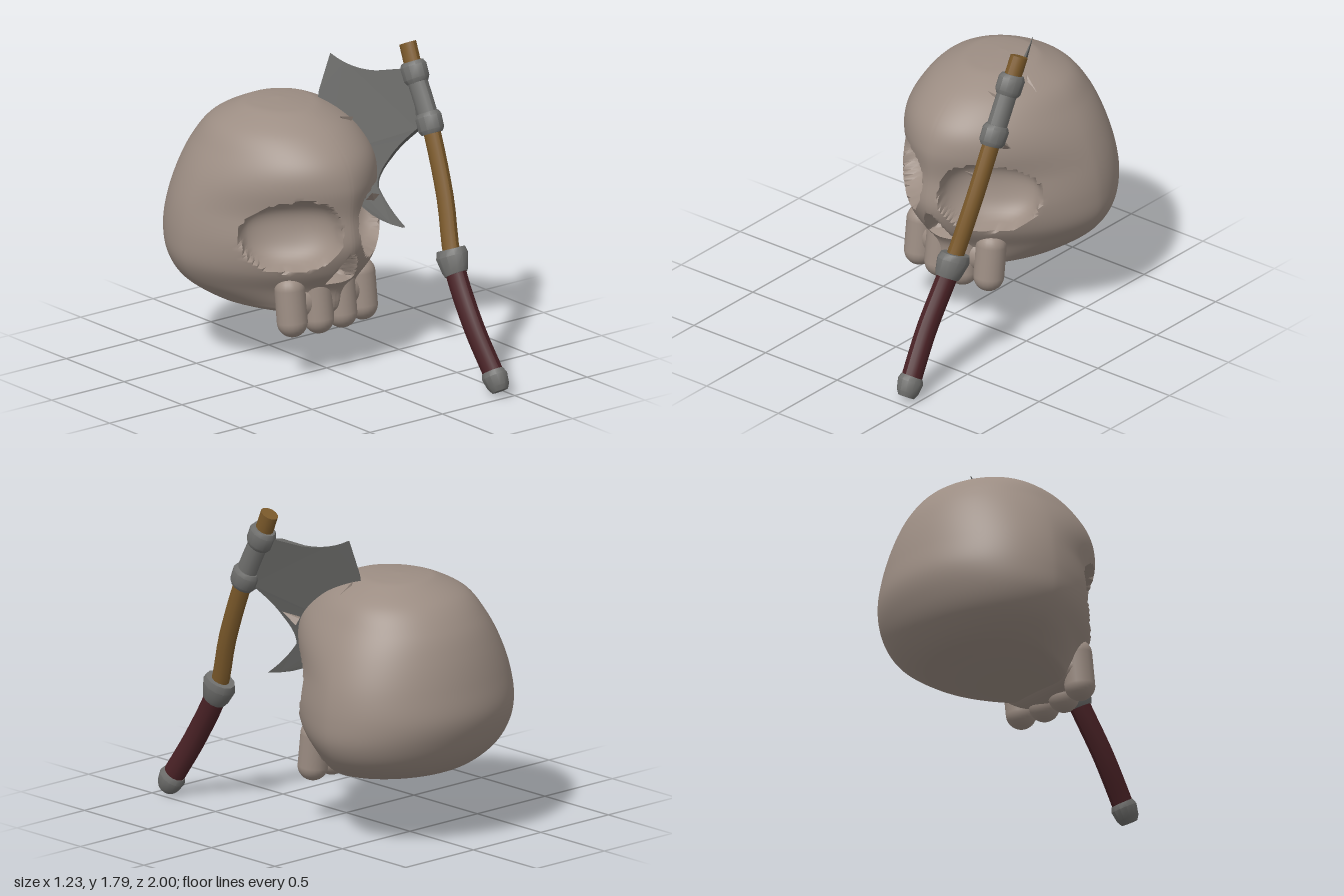
import * as THREE from 'three';
import { toCreasedNormals } from 'three/addons/utils/BufferGeometryUtils.js';

const { smoothstep, clamp } = THREE.MathUtils;
const V = (x, y, z) => new THREE.Vector3(x, y, z);

function material(name, color) {
  const m = new THREE.MeshStandardMaterial({ color });
  m.name = name;
  return m;
}

// Closed rings stacked from bottom to top; point(i, j) gives each corner.
function loft(rows, cols, point, crease) {
  const pos = [], index = [];
  for (let i = 0; i < rows; i++) {
    for (let j = 0; j < cols; j++) {
      pos.push(...point(i, j).toArray());
      if (i === rows - 1) continue;
      const a = i * cols + j, b = i * cols + (j + 1) % cols;
      index.push(a, b, b + cols, a, b + cols, a + cols);
    }
  }
  const g = new THREE.BufferGeometry();
  g.setAttribute('position', new THREE.Float32BufferAttribute(pos, 3));
  g.setIndex(index);
  return toCreasedNormals(g, crease);
}

// Skull levels: height, half width, front z, back z
const LEVELS = [
  [0.325, 0, -0.2, -0.2], [0.335, 0.2, 0.02, -0.42], [0.36, 0.33, 0.07, -0.6],
  [0.40, 0.42, 0.085, -0.77], [0.49, 0.535, 0.1, -0.885], [0.61, 0.605, 0.185, -0.96],
  [0.75, 0.615, 0.235, -1], [0.915, 0.59, 0.215, -0.98], [1.08, 0.535, 0.22, -0.94],
  [1.22, 0.46, 0.17, -0.88], [1.34, 0.37, 0.04, -0.78], [1.42, 0.23, -0.13, -0.63],
  [1.44, 0.14, -0.24, -0.56], [1.45, 0, -0.42, -0.42],
];

function skullGeometry() {
  const widths = new THREE.CatmullRomCurve3(LEVELS.map(l => V(l[0], l[1], 0)), false, 'catmullrom');
  const depths = new THREE.CatmullRomCurve3(LEVELS.map(l => V(l[0], l[2], l[3])), false, 'catmullrom');
  const rows = (LEVELS.length - 1) * 8 + 1, cols = 144;
  return loft(rows, cols, (i, j) => {
    const t = i / (rows - 1);
    const { x: y, y: w } = widths.getPoint(t);
    const { y: front, z: back } = depths.getPoint(t);
    const mid = back + (front - back) * 0.41;
    // columns gather toward the face
    const s = (j / cols) * Math.PI * 2, phi = s - 0.45 * Math.sin(s);
    const sn = Math.sin(phi), cs = Math.cos(phi);
    const p = cs > 0 ? 1.55 + 0.35 * smoothstep(y, 0.9, 1.25) : 2;
    let x = Math.max(w, 0) * Math.sign(sn) * Math.abs(sn) ** (2 / p);
    let z = mid + (cs > 0 ? front - mid : mid - back) * Math.sign(cs) * Math.abs(cs) ** (2 / p);
    if (cs > 0) {
      // eye sockets
      const side = Math.sign(x), ax = Math.abs(x);
      const u = (ax - 0.267) / 0.207, v = (y - 0.825 + 0.12 * (ax - 0.267)) / 0.197;
      const r = Math.abs(u) ** 2.2 + Math.abs(v) ** 2.2;
      if (r < 1) {
        const d = 0.21 * Math.sqrt(1 - r);
        x -= side * d * 0.4;
        z -= d * 0.92;
      }
      // nose hole
      const half = 0.09 * Math.sqrt(Math.max(0, (0.705 - y) / 0.165));
      z -= 0.12 * clamp(Math.min((y - 0.535) / 0.025, (half - ax) / 0.025), 0, 1);
    }
    return V(x, y, z);
  }, 0.85);
}

// Centre line of the bent axe handle
const HANDLE = new THREE.CatmullRomCurve3([
  V(0.44, 0.03, 0.953), V(0.435, 0.12, 0.9), V(0.417, 0.36, 0.745), V(0.432, 0.68, 0.55),
  V(0.474, 1.0, 0.43), V(0.497, 1.385, 0.265), V(0.499, 1.636, 0.134), V(0.506, 1.78, 0.065),
]);

// Curve parameter at a given height
function handleAt(y) {
  let lo = 0, hi = 1;
  for (let k = 0; k < 30; k++) {
    const m = (lo + hi) / 2;
    if (HANDLE.getPoint(m).y < y) lo = m; else hi = m;
  }
  return (lo + hi) / 2;
}

// Oval piece along the handle from [height, radius] rings, closed at both ends
function handlePiece(rings, sides = 12) {
  const all = [[rings[0][0], 0], ...rings, [rings[rings.length - 1][0], 0]];
  return loft(all.length, sides, (i, j) => {
    const t = handleAt(all[i][0]), r = all[i][1], a = (j / sides) * Math.PI * 2;
    const tangent = HANDLE.getTangent(t), side = V(1, 0, 0);
    const across = tangent.clone().cross(side).normalize();
    return HANDLE.getPoint(t).addScaledVector(side, Math.cos(a) * r * 0.85)
      .addScaledVector(across, Math.sin(a) * r);
  }, 0.6);
}

const straight = (y0, y1, r, n = 14) =>
  Array.from({ length: n + 1 }, (_, i) => [y0 + (y1 - y0) * i / n, r]);

// Blade outline as (-z, y), laid onto its slanted plane and thinned to the edge
function bladeGeometry() {
  const s = new THREE.Shape();
  s.moveTo(-0.23, 1.34);
  s.quadraticCurveTo(-0.14, 1.24, -0.11, 1.16);
  s.quadraticCurveTo(-0.06, 1.06, -0.08, 1.0);
  s.quadraticCurveTo(-0.15, 0.9, -0.26, 0.81);
  s.quadraticCurveTo(-0.06, 0.82, 0.06, 0.96);
  s.quadraticCurveTo(0.34, 1.2, 0.335, 1.46);
  s.lineTo(0.32, 1.66);
  s.quadraticCurveTo(0.2, 1.59, 0.075, 1.6);
  s.lineTo(-0.04, 1.625);
  s.lineTo(-0.14, 1.62);
  const g = new THREE.ExtrudeGeometry(s, { depth: 1, bevelEnabled: false, curveSegments: 6 });
  const p = g.attributes.position;
  for (let i = 0; i < p.count; i++) {
    const z = -p.getX(i), y = p.getY(i), w = p.getZ(i) - 0.5;
    const reach = (0.2 - z) * 0.89 + (1.5 - y) * 0.46;
    const thick = 0.055 * (1 - clamp(reach / 0.4, 0, 0.93));
    p.setXYZ(i, 0.497 + 0.503 * (z - 0.2) + 0.29 * (y - 1.5) + w * thick, y, z);
  }
  g.computeVertexNormals();
  return g;
}

export function createModel() {
  const bone = material('bone', 0x9c8d83);
  const steel = material('steel', 0x70706e);
  const bladeSteel = material('bladeSteel', 0x666664);
  const wood = material('wood', 0x7c5a2b);
  const leather = material('leather', 0x4a2226);

  const model = new THREE.Group();
  const skull = new THREE.Group();
  skull.name = 'skull';
  const axe = new THREE.Group();
  axe.name = 'axe';
  model.add(skull, axe);
  const add = (group, name, geometry, mat) => {
    const m = new THREE.Mesh(geometry, mat);
    m.name = name;
    group.add(m);
    return m;
  };

  add(skull, 'cranium', skullGeometry(), bone);

  // Upper jaw and its four stubby teeth
  const jaw = add(skull, 'upperJaw', new THREE.SphereGeometry(1, 32, 20), bone);
  jaw.position.set(0, 0.42, -0.04);
  jaw.scale.set(0.3, 0.12, 0.12);
  for (const side of [-1, 1]) {
    for (const [x, y, z] of [[0.08, 0.41, 0.02], [0.242, 0.415, -0.005]]) {
      const tooth = add(skull, 'tooth', new THREE.CapsuleGeometry(0.084, 0.18, 10, 20), bone);
      tooth.position.set(side * x, y, z);
      tooth.rotation.x = -0.12;
    }
  }

  // Splinters of bone raised beside the cut
  for (const [x, y, z, rx, rz] of [
    [0.2, 1.36, -0.1, 0.5, 0.9], [0.27, 1.38, -0.3, -0.3, 0.5],
    [0.22, 0.98, 0.12, 0.9, 0.6], [0.38, 1.18, 0.04, 0.9, -0.6],
  ]) {
    const chip = add(skull, 'boneSplinter', new THREE.ConeGeometry(0.04, 0.1, 4).toNonIndexed(), bone);
    chip.geometry.computeVertexNormals();
    chip.position.set(x, y, z);
    chip.rotation.set(rx, 0, rz);
    chip.scale.z = 0.5;
  }

  // Axe
  add(axe, 'blade', bladeGeometry(), bladeSteel);
  add(axe, 'woodenShaft', handlePiece(straight(0.68, 1.775, 0.053)), wood);
  add(axe, 'grip', handlePiece(straight(0.1, 0.66, 0.064)), leather);
  add(axe, 'pommel', handlePiece([[0.036, 0.05], [0.06, 0.068], [0.11, 0.08], [0.135, 0.068]]), steel);
  add(axe, 'gripCollar', handlePiece([[0.61, 0.072], [0.63, 0.082], [0.7, 0.1], [0.735, 0.088]]), steel);
  add(axe, 'headSleeve', handlePiece(straight(1.36, 1.64, 0.062, 4)), steel);
  for (const y of [1.375, 1.63]) {
    add(axe, 'headCollar', handlePiece(
      [[y - 0.055, 0.066], [y - 0.035, 0.08], [y + 0.03, 0.082], [y + 0.05, 0.068]]), steel);
  }
  return model;
}
